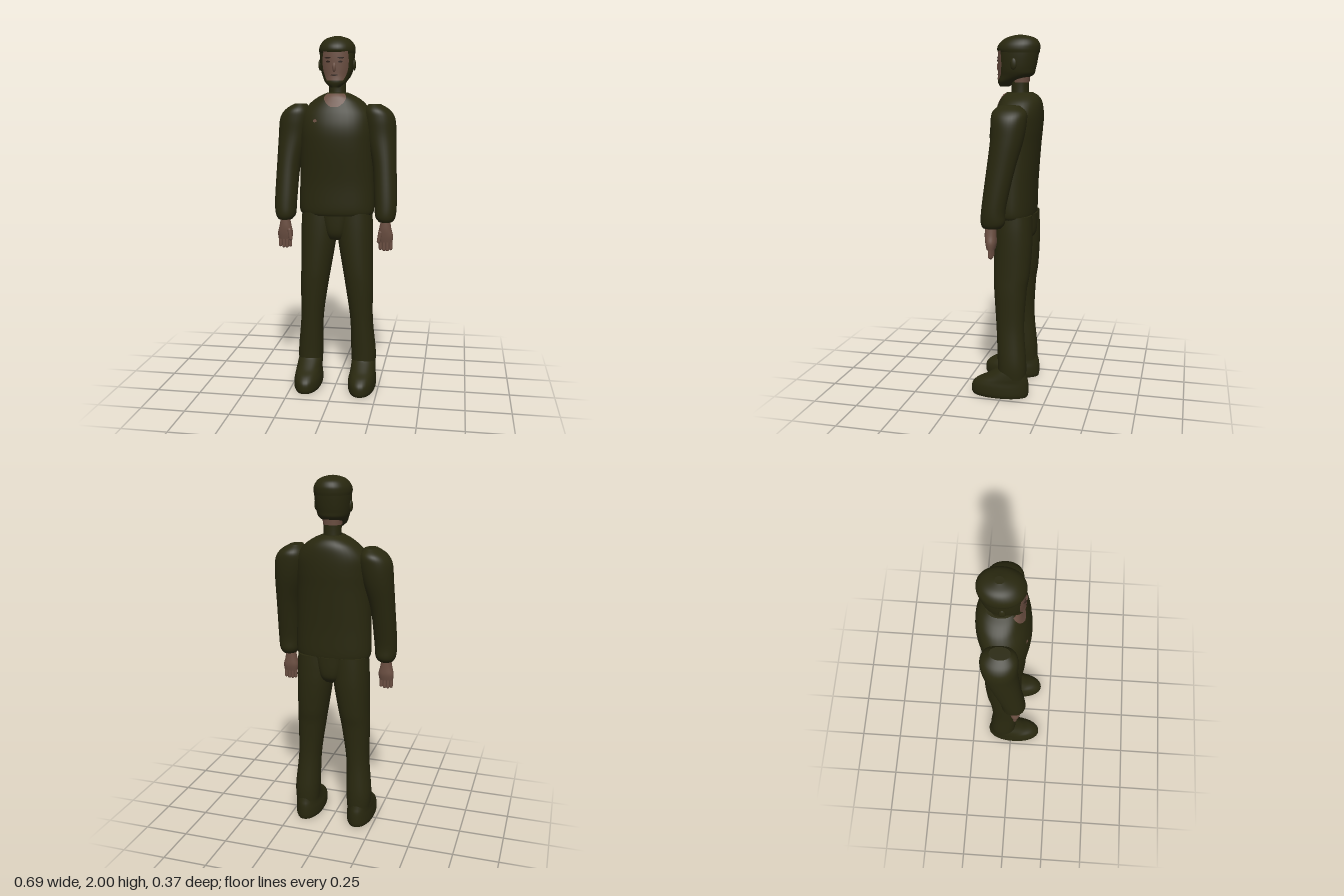
import * as THREE from 'three';

const SEG = 36;
const mat = (name, color, side = THREE.FrontSide) => {
  const m = new THREE.MeshStandardMaterial({ color, side });
  m.name = name;
  return m;
};

// Sections are [y, xMin, xMax, zMin, zMax], listed upwards; smooth them with a spline.
function refine(sections, steps = 6) {
  const curves = sections[0].map((_, k) =>
    new THREE.SplineCurve(sections.map((s, i) => new THREE.Vector2(i, s[k]))));
  const n = (sections.length - 1) * steps;
  return Array.from({ length: n + 1 }, (_, i) => curves.map(c => c.getPoint(i / n).y));
}

// Point on a rounded cross-section; angle 0 faces +z, positive angles go to +x.
function ringPoint([y, x0, x1, z0, z1], a, p, grow = 0) {
  const bend = v => Math.sign(v) * Math.pow(Math.abs(v), 2 / p);
  return [
    (x0 + x1) / 2 + ((x1 - x0) / 2 + grow) * bend(Math.sin(a)), y,
    (z0 + z1) / 2 + ((z1 - z0) / 2 + grow) * bend(Math.cos(a))];
}

function skin(pos, index) {
  const g = new THREE.BufferGeometry();
  g.setAttribute('position', new THREE.Float32BufferAttribute(pos, 3));
  g.setIndex(index);
  g.computeVertexNormals();
  return g;
}

function gridIndex(rows, cols, wrap) {
  const index = [];
  for (let i = 0; i < rows - 1; i++) {
    for (let j = 0; j < (wrap ? cols : cols - 1); j++) {
      const k = (j + 1) % cols;
      const a = i * cols + j, b = i * cols + k;
      index.push(a, b, a + cols, b, b + cols, a + cols);
    }
  }
  return index;
}

// Closed solid through the sections, with flat end caps.
function loft(sections, p = 2.2) {
  const rows = refine(sections), pos = [];
  const ring = r => {
    for (let j = 0; j < SEG; j++) pos.push(...ringPoint(r, j / SEG * Math.PI * 2, p));
  };
  rows.forEach(ring);
  const index = gridIndex(rows.length, SEG, true);
  [[rows[0], true], [rows[rows.length - 1], false]].forEach(([r, bottom]) => {
    const start = pos.length / 3;
    ring(r);
    const c = pos.length / 3;
    pos.push((r[1] + r[2]) / 2, r[0], (r[3] + r[4]) / 2);
    for (let j = 0; j < SEG; j++) {
      const a = start + j, b = start + (j + 1) % SEG;
      index.push(c, ...(bottom ? [b, a] : [a, b]));
    }
  });
  return skin(pos, index);
}

// Thin painted area lying on a loft: height range, centre angle and half angle by height.
function patch(sections, p, yMin, yMax, centre, half, grow = 0.004) {
  const fine = refine(sections, 40), pos = [], rows = 12, cols = 17;
  for (let i = 0; i < rows; i++) {
    const t = i / (rows - 1), y = yMin + (yMax - yMin) * t;
    const r = fine.reduce((best, s) => Math.abs(s[0] - y) < Math.abs(best[0] - y) ? s : best);
    for (let j = 0; j < cols; j++) {
      const a = centre + half(t) * (j / (cols - 1) * 2 - 1);
      pos.push(...ringPoint(r, a, p, grow));
    }
  }
  return skin(pos, gridIndex(rows, cols, false));
}

const mirror = (sections, s) =>
  s > 0 ? sections : sections.map(([y, a, b, c, d]) => [y, -b, -a, c, d]);
const round = (w, pow = 0.5) => t => w * Math.max(0.05, Math.pow(4 * t * (1 - t), pow));

const TORSO = [
  [1.015, -0.2, 0.2, -0.143, 0.065], [1.05, -0.213, 0.213, -0.15, 0.075],
  [1.2, -0.21, 0.21, -0.155, 0.08], [1.4, -0.205, 0.205, -0.17, 0.1],
  [1.5, -0.205, 0.205, -0.18, 0.1], [1.58, -0.195, 0.195, -0.183, 0.08],
  [1.64, -0.15, 0.15, -0.178, 0.052], [1.675, -0.1, 0.1, -0.16, 0.035],
  [1.695, -0.055, 0.055, -0.13, 0.015]];
const SLEEVE = [
  [0.99, 0.245, 0.325, -0.02, 0.078], [1.02, 0.226, 0.34, -0.04, 0.09],
  [1.1, 0.22, 0.345, -0.045, 0.085], [1.3, 0.205, 0.338, -0.09, 0.06],
  [1.45, 0.165, 0.333, -0.13, 0.045], [1.55, 0.145, 0.325, -0.145, 0.045],
  [1.6, 0.152, 0.295, -0.14, 0.038], [1.632, 0.175, 0.245, -0.1, 0.005]];
const LEG = [
  [0.11, 0.09, 0.225, -0.13, 0.03], [0.2, 0.085, 0.228, -0.13, 0.03],
  [0.4, 0.08, 0.21, -0.115, 0.04], [0.6, 0.052, 0.21, -0.125, 0.055],
  [0.7, 0.035, 0.208, -0.14, 0.06], [0.85, 0.01, 0.207, -0.15, 0.06],
  [0.95, 0.002, 0.205, -0.15, 0.058], [1.03, 0.002, 0.2, -0.147, 0.055]];
const SHOE = [
  [0, 0.085, 0.23, -0.14, 0.178], [0.02, 0.078, 0.237, -0.145, 0.185],
  [0.06, 0.079, 0.236, -0.145, 0.18], [0.09, 0.085, 0.232, -0.142, 0.15],
  [0.115, 0.088, 0.23, -0.135, 0.1], [0.15, 0.09, 0.225, -0.126, 0.045],
  [0.165, 0.097, 0.218, -0.12, 0.025]];
const HIPS = [
  [0.875, -0.05, 0.05, -0.11, 0.03], [0.92, -0.067, 0.067, -0.15, 0.055],
  [1.03, -0.1, 0.1, -0.155, 0.062]];
const HEAD = [
  [1.725, -0.025, 0.025, 0.005, 0.055], [1.75, -0.055, 0.055, -0.035, 0.064],
  [1.785, -0.077, 0.077, -0.125, 0.06], [1.82, -0.088, 0.088, -0.142, 0.06],
  [1.88, -0.095, 0.095, -0.155, 0.06], [1.93, -0.097, 0.097, -0.162, 0.058]];
const HAIR = [
  [1.905, -0.097, 0.097, -0.162, 0.06], [1.925, -0.1, 0.1, -0.166, 0.068],
  [1.95, -0.095, 0.095, -0.166, 0.06], [1.975, -0.078, 0.078, -0.152, 0.035],
  [1.99, -0.055, 0.055, -0.125, 0.005], [2, -0.02, 0.02, -0.08, -0.035]];
const NECK = [
  [1.64, -0.05, 0.05, -0.108, -0.005], [1.72, -0.047, 0.047, -0.105, -0.012],
  [1.82, -0.05, 0.05, -0.108, 0]];
const HAND = [
  [0.875, 0.247, 0.325, 0.012, 0.057], [0.91, 0.242, 0.328, 0.005, 0.064],
  [0.95, 0.25, 0.318, 0.006, 0.068], [1.0, 0.26, 0.31, 0.008, 0.066]];

export function createModel() {
  const model = new THREE.Group();
  const olive = mat('olive cloth', 0x29280f);
  const flesh = mat('skin', 0x6b4f42);
  const paint = mat('skin patch', 0x694d40, THREE.DoubleSide);
  const dark = mat('dark features', 0x2c1f18, THREE.DoubleSide);
  const add = (name, geometry, material) => {
    const m = new THREE.Mesh(geometry, material);
    m.name = name;
    model.add(m);
    return m;
  };

  // Body
  add('torso', loft(TORSO), olive);
  add('hips', loft(HIPS, 2.8), olive);
  add('collarOpening', patch(TORSO, 2.2, 1.62, 1.69, 0, t => 0.1 + 0.6 * t), paint);
  add('chestMark', patch(TORSO, 2.2, 1.536, 1.554, -0.49, round(0.06)), paint);
  add('neck', loft(NECK), olive);
  add('nape', patch(NECK, 2.2, 1.75, 1.81, Math.PI, () => 1.9), paint);

  // Head and face
  add('head', loft(HEAD), olive);
  add('hair', loft(HAIR, 2.1), olive);
  add('face', patch(HEAD, 2.2, 1.762, 1.918, 0.06,
    t => 0.68 + 0.12 * Math.sin(t * Math.PI)), paint);
  add('mouth', patch(HEAD, 2.2, 1.786, 1.794, 0, round(0.2), 0.007), dark);
  const nose = add('nose', new THREE.SphereGeometry(1, 16, 12), flesh);
  nose.scale.set(0.011, 0.026, 0.012);
  nose.position.set(0, 1.832, 0.061);

  for (const s of [1, -1]) {
    const side = s > 0 ? 'left' : 'right';
    add(side + 'Eye', patch(HEAD, 2.2, 1.855, 1.866, s * 0.31, round(0.12), 0.007), dark);
    add(side + 'Brow', patch(HEAD, 2.2, 1.878, 1.886, s * 0.33, round(0.18), 0.007), dark);
    const ear = add(side + 'Ear', new THREE.SphereGeometry(1, 16, 12), olive);
    ear.scale.set(0.01, 0.031, 0.018);
    ear.position.set(s * 0.095, 1.846, -0.042);

    // Limbs
    add(side + 'Sleeve', loft(mirror(SLEEVE, s), 2.1), olive);
    add(side + 'Leg', loft(mirror(LEG, s), 2.2), olive);
    add(side + 'Shoe', loft(mirror(SHOE, s), 2.1), olive);

    // Hand with four fingers and a thumb
    add(side + 'Hand', loft(mirror(HAND, s)), flesh);
    for (let i = 0; i < 4; i++) {
      const finger = add(side + 'Finger', new THREE.CapsuleGeometry(0.01, 0.05, 4, 10), flesh);
      finger.position.set(s * (0.258 + i * 0.019), 0.862 - (i % 3 ? 0.006 : 0), 0.034);
    }
    const thumb = add(side + 'Thumb', new THREE.CapsuleGeometry(0.011, 0.05, 4, 10), flesh);
    thumb.position.set(s * 0.254, 0.905, 0.058);
    thumb.rotation.z = -s * 0.15;
  }
  return model;
}
